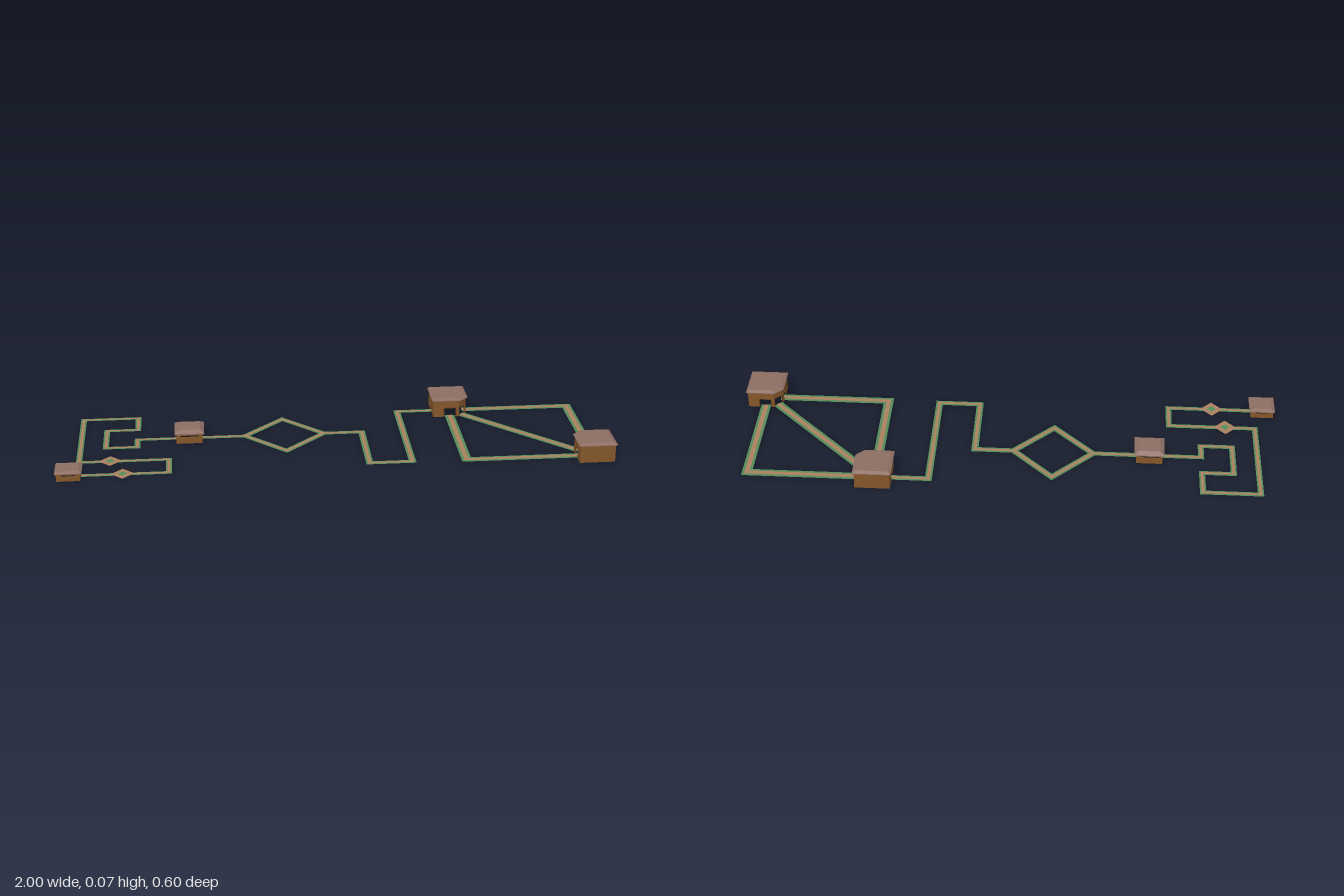
import * as THREE from 'three';
import { ConvexGeometry } from 'three/addons/geometries/ConvexGeometry.js';

const mat = (name, color, side = THREE.FrontSide) => {
  const m = new THREE.MeshStandardMaterial({ color, side });
  m.name = name;
  return m;
};

export function createModel() {
  const timber = mat('timber wall', 0x85572a);
  const trim = mat('door trim', 0x6b4423);
  const tile = mat('roof tile', 0x8d6e63);
  const grass = mat('path grass', 0x558b58, THREE.DoubleSide);
  const earth = mat('path earth', 0xaa8060, THREE.DoubleSide);

  const model = new THREE.Group();
  model.name = 'pathsAndPavilions';

  const add = (parent, name, geo, material, x = 0, y = 0, z = 0) => {
    const m = new THREE.Mesh(geo, material);
    m.name = name;
    m.position.set(x, y, z);
    parent.add(m);
  };

  // ---------- Paths: flat mitred ribbons along [x, z] points ----------
  function ribbon(points, width, y, closed) {
    const p = points.map(([x, z]) => new THREE.Vector2(x, z));
    const n = p.length, pos = [], idx = [];
    const dir = (a, b) => p[b].clone().sub(p[a]).normalize();
    for (let i = 0; i < n; i++) {
      const hasPrev = closed || i > 0, hasNext = closed || i < n - 1;
      const next = hasNext ? dir(i, (i + 1) % n) : dir(i - 1, i);
      const prev = hasPrev ? dir((i + n - 1) % n, i) : next;
      const nPrev = new THREE.Vector2(-prev.y, prev.x);
      const nNext = new THREE.Vector2(-next.y, next.x);
      const miter = nPrev.clone().add(nNext).normalize();
      miter.multiplyScalar(width / 2 / miter.dot(nNext));
      pos.push(p[i].x + miter.x, y, p[i].y + miter.y, p[i].x - miter.x, y, p[i].y - miter.y);
    }
    for (let i = 0; i < (closed ? n : n - 1); i++) {
      const a = 2 * i, b = 2 * ((i + 1) % n);
      idx.push(a, b, a + 1, b, b + 1, a + 1);
    }
    const g = new THREE.BufferGeometry();
    g.setAttribute('position', new THREE.Float32BufferAttribute(pos, 3));
    g.setIndex(idx);
    g.computeVertexNormals();
    return g;
  }
  function path(name, points, width, closed = false) {
    const g = new THREE.Group();
    g.name = name;
    add(g, 'grassVerge', ribbon(points, width, 0.0008, closed), grass);
    add(g, 'earthTrack', ribbon(points, width * 0.47, 0.0016, closed), earth);
    model.add(g);
  }

  path('windingPath', [[-0.92, 0.248], [-0.602, 0.248], [-0.602, 0.136], [-0.923, 0.136],
    [-0.923, -0.251], [-0.717, -0.251], [-0.717, -0.14], [-0.832, -0.14], [-0.832, 0.018],
    [-0.717, 0.018], [-0.717, -0.049], [-0.57, -0.049]], 0.022);
  path('ringApproach', [[-0.485, -0.049], [-0.325, -0.049]], 0.024);
  path('diamondRing', [[-0.32, -0.049], [-0.174, -0.195], [-0.028, -0.049], [-0.174, 0.097]], 0.027, true);
  path('middlePath', [[-0.024, -0.049], [0.115, -0.049], [0.115, 0.23], [0.27, 0.23],
    [0.27, -0.231], [0.41, -0.231]], 0.026);
  path('northEastPath', [[0.52, -0.231], [0.93, -0.231], [0.93, 0.18]], 0.037);
  path('southWestPath', [[0.466, -0.18], [0.466, 0.231], [0.88, 0.231]], 0.037);
  path('diagonalPath', [[0.51, -0.187], [0.886, 0.187]], 0.037);

  // Small diamond plazas on the winding path
  for (const [x, z] of [[-0.812, 0.136], [-0.765, 0.248]]) {
    const diamond = (r) => new THREE.CircleGeometry(r, 4).rotateX(-Math.PI / 2);
    add(model, 'plaza', diamond(0.042), earth, x, 0.0024, z);
    add(model, 'plazaGrass', diamond(0.017), grass, x, 0.0032, z);
  }

  // ---------- Pavilions ----------
  // Square plan with the +x +z corner optionally cut off
  const plan = (h, c) => c > 0
    ? [[h, -h], [h, h - c], [h - c, h], [-h, h], [-h, -h]]
    : [[h, -h], [h, h], [-h, h], [-h, -h]];
  const solid = (lower, y0, upper, y1) => new ConvexGeometry([
    ...lower.map(([x, z]) => new THREE.Vector3(x, y0, z)),
    ...upper.map(([x, z]) => new THREE.Vector3(x, y1, z))]);

  // One wall panel facing +z; a door is centred on x = shift
  function wallPanel(length, height, opening, shift) {
    const g = new THREE.Group();
    const L = length / 2, t = 0.004, f = 0.003;
    const s = new THREE.Shape();
    s.moveTo(-L, 0);
    if (opening?.door) {
      const [w, h] = opening.door;
      s.lineTo(shift - w / 2, 0).lineTo(shift - w / 2, h).lineTo(shift + w / 2, h).lineTo(shift + w / 2, 0);
      for (const side of [-1, 1]) {
        add(g, 'doorPost', new THREE.BoxGeometry(f, h, t + 0.002), trim, shift + side * (w + f) / 2, h / 2, -t / 2);
      }
      add(g, 'doorLintel', new THREE.BoxGeometry(w + 2 * f, f, t + 0.002), trim, shift, h + f / 2, -t / 2);
    }
    s.lineTo(L, 0).lineTo(L, height).lineTo(-L, height);
    if (opening?.window) {
      const [w, y0, y1, mullion] = opening.window;
      const hole = new THREE.Path();
      hole.moveTo(-w / 2, y0).lineTo(-w / 2, y1).lineTo(w / 2, y1).lineTo(w / 2, y0);
      s.holes.push(hole);
      if (mullion) add(g, 'mullion', new THREE.BoxGeometry(0.004, y1 - y0, 0.003), trim, 0, (y0 + y1) / 2, -t / 2);
    }
    const geo = new THREE.ExtrudeGeometry(s, { depth: t, bevelEnabled: false }).translate(0, 0, -t);
    add(g, 'wall', geo, timber);
    return g;
  }

  function pavilion(name, x, z, o) {
    const g = new THREE.Group();
    g.name = name;
    g.position.set(x, 0, z);
    g.rotation.y = o.turn || 0;
    const cut = o.cut || 0, pts = plan(o.size / 2, cut);
    const sides = cut ? ['left', 'corner', 'front', 'right', 'back'] : ['left', 'front', 'right', 'back'];
    // Doors beside the cut corner stay on the hall's centre lines
    const shifts = { left: -cut / 2, front: cut / 2 };
    pts.forEach(([ax, az], i) => {
      const [bx, bz] = pts[(i + 1) % pts.length];
      const side = sides[i];
      const panel = wallPanel(Math.hypot(bx - ax, bz - az), o.height, o.openings[side], shifts[side] || 0);
      panel.name = side + 'Wall';
      panel.position.set((ax + bx) / 2, 0, (az + bz) / 2);
      panel.rotation.y = Math.atan2(bz - az, ax - bx);
      g.add(panel);
    });
    // Eave slab and sloped hip roof with a flat top
    const wide = plan(o.roof / 2, cut), narrow = plan(o.roofTop / 2, cut * 0.9);
    const yEave = o.height + o.slab;
    add(g, 'eaveSlab', solid(wide, o.height, wide, yEave), tile);
    add(g, 'hipRoof', solid(wide, yEave, narrow, o.top), tile);
    model.add(g);
  }

  const smallWindow = { window: [0.046, 0.018, 0.0235, true] };
  pavilion('smallHut', -0.953, 0.249, {
    size: 0.084, height: 0.028, slab: 0.003, roof: 0.095, roofTop: 0.07, top: 0.037,
    openings: { left: { door: [0.02, 0.017] }, front: smallWindow, back: smallWindow },
  });

  const wideWindow = { window: [0.066, 0.025, 0.031, false] };
  const gate = { door: [0.024, 0.021] };
  pavilion('gateHut', -0.526, -0.048, {
    size: 0.095, height: 0.037, slab: 0.004, roof: 0.109, roofTop: 0.077, top: 0.051,
    openings: { left: gate, right: gate, front: wideWindow, back: wideWindow },
  });

  // Two large halls facing each other across the diagonal path
  const hallDoor = { door: [0.043, 0.034] };
  const cornerDoor = { door: [0.036, 0.037] };
  const hall = {
    size: 0.128, height: 0.065, slab: 0.003, roof: 0.139, roofTop: 0.116, top: 0.074, cut: 0.03,
  };
  pavilion('northHall', 0.466, -0.231, {
    ...hall, openings: { left: hallDoor, corner: cornerDoor, front: hallDoor, right: hallDoor },
  });
  pavilion('southHall', 0.93, 0.231, {
    ...hall, turn: Math.PI, openings: { left: hallDoor, corner: cornerDoor, front: hallDoor },
  });

  return model;
}
